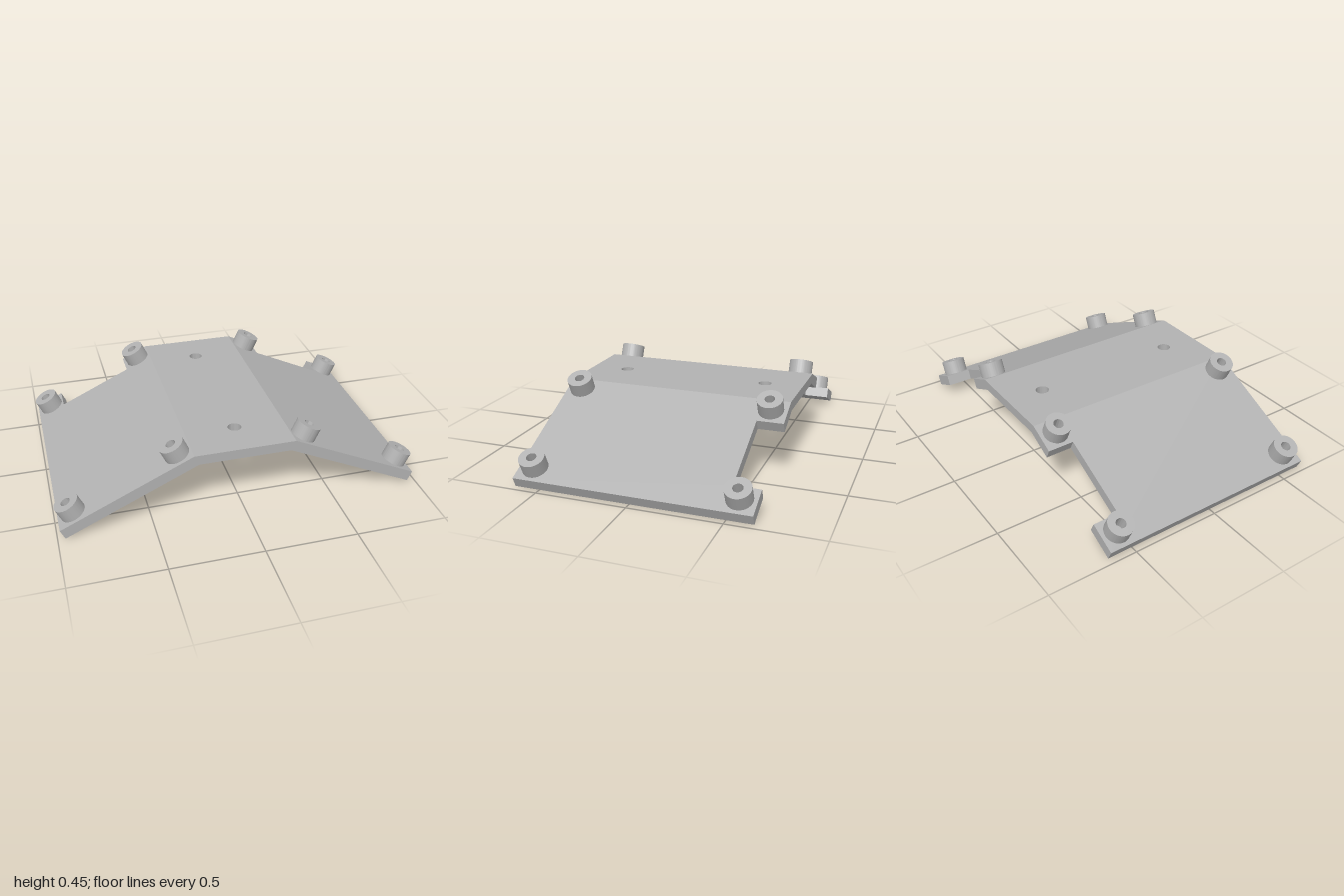
import * as THREE from 'three';
import { toCreasedNormals } from 'three/addons/utils/BufferGeometryUtils.js';

const ANGLE = THREE.MathUtils.degToRad(25);
const THICK = 0.06;      // wing plate thickness
const HALF_Z = 0.64;     // half depth of the whole bracket
const RIDGE = 0.275;     // half width of the flat centre
const WING = 0.783;      // wing length down the slope
const TOP = Math.sin(ANGLE) * WING + Math.cos(ANGLE) * THICK;
const BOSS_HEIGHT = 0.08;

const grey = new THREE.MeshStandardMaterial({ color: 0xb2b2b2 });
grey.name = 'plain grey';

// Extrude a plan outline (x, z) downwards from y = 0
function slab(points, holes, depth) {
  const shape = new THREE.Shape(points.map(([x, z]) => new THREE.Vector2(x, z)));
  for (const [x, z, r] of holes) {
    shape.holes.push(new THREE.Path().absarc(x, z, r, 0, Math.PI * 2, true));
  }
  return new THREE.ExtrudeGeometry(shape, { depth, bevelEnabled: false, curveSegments: 32 })
    .rotateX(Math.PI / 2);
}

function part(name, geometry) {
  const mesh = new THREE.Mesh(toCreasedNormals(geometry, 0.5), grey);
  mesh.name = name;
  return mesh;
}

// Flat centre with two through holes; the lower edge tucks in to meet the wings
function centrePlate() {
  const depth = THICK * Math.cos(ANGLE);
  const geometry = slab(
    [[-RIDGE, -HALF_Z], [RIDGE, -HALF_Z], [RIDGE, HALF_Z], [-RIDGE, HALF_Z]],
    [[0, -0.425, 0.037], [0, 0.425, 0.037]], depth);
  const pos = geometry.attributes.position;
  const inset = THICK * Math.sin(ANGLE);
  for (let i = 0; i < pos.count; i++) {
    const x = pos.getX(i);
    if (pos.getY(i) < -depth / 2 && Math.abs(x) > 0.2) pos.setX(i, x - Math.sign(x) * inset);
  }
  geometry.computeVertexNormals();
  const mesh = part('centrePlate', geometry);
  mesh.position.y = TOP;
  return mesh;
}

// Hollow standoff ring, open down to the plate
function bossGeometry() {
  const ring = new THREE.Shape().absarc(0, 0, 0.069, 0, Math.PI * 2, false);
  ring.holes.push(new THREE.Path().absarc(0, 0, 0.027, 0, Math.PI * 2, true));
  return new THREE.ExtrudeGeometry(ring, { depth: BOSS_HEIGHT, bevelEnabled: false, curveSegments: 40 })
    .rotateX(-Math.PI / 2);
}

// Sloping wing with a rear notch and four bosses; side is +1 (left) or -1 (right)
function wing(side) {
  const group = new THREE.Group();
  group.name = side > 0 ? 'leftWing' : 'rightWing';
  const outline = [
    [0, -HALF_Z], [0.166, -HALF_Z], [0.166, -0.495], [0.616, -0.495],
    [0.616, -HALF_Z], [WING, -HALF_Z], [WING, HALF_Z], [0, HALF_Z],
  ].map(([s, z]) => [s * side, z]);
  group.add(part('wingPlate', slab(outline, [], THICK)));
  for (const s of [0.077, 0.693]) {
    for (const z of [-0.55, 0.55]) {
      const boss = part('mountingBoss', bossGeometry());
      boss.position.set(s * side, 0, z);
      group.add(boss);
    }
  }
  group.position.set(RIDGE * side, TOP, 0);
  group.rotation.z = -ANGLE * side;
  return group;
}

export function createModel() {
  const model = new THREE.Group();
  model.name = 'angledMountingBracket';
  model.add(centrePlate(), wing(1), wing(-1));
  return model;
}
